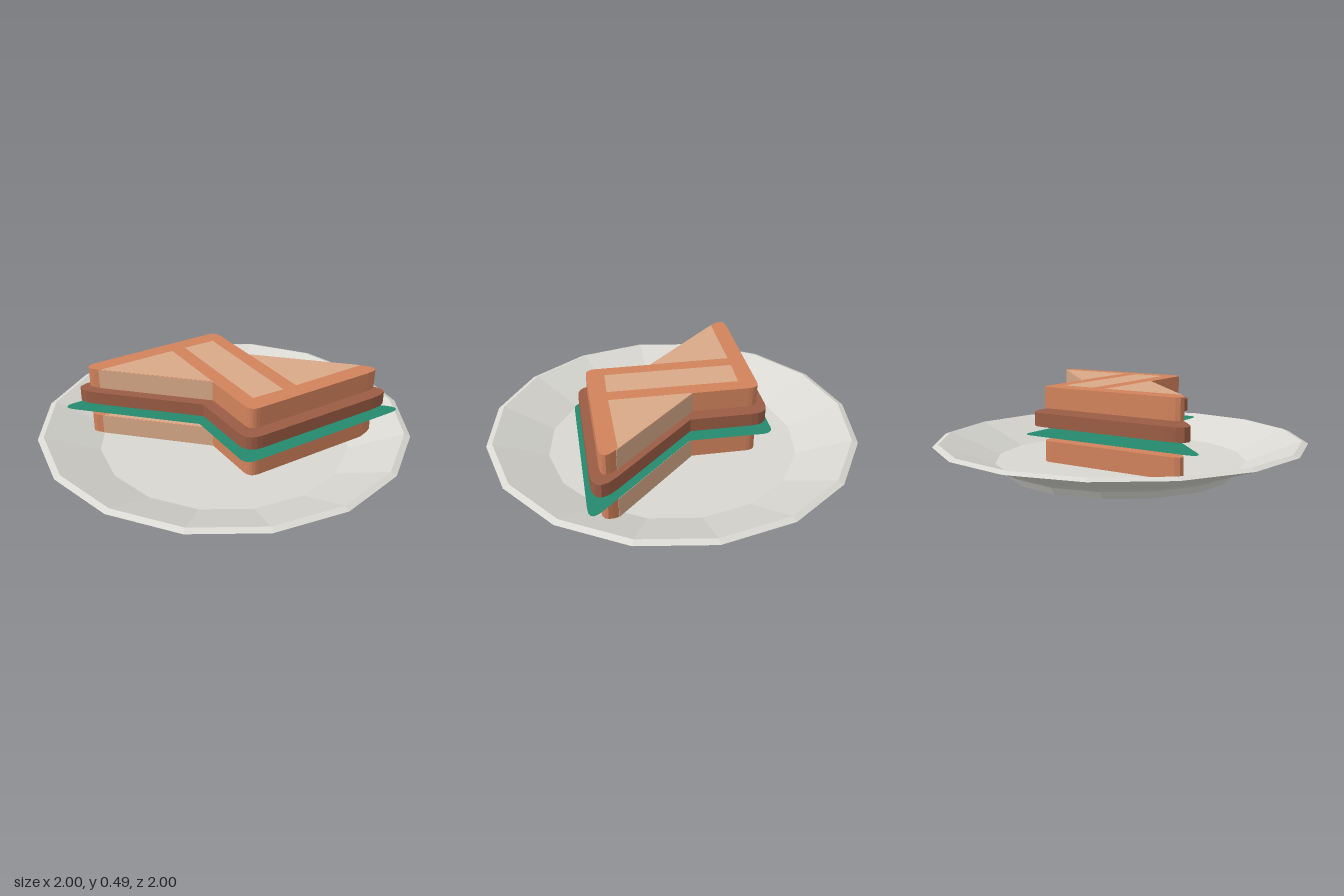
import * as THREE from 'three';

const mat = (name, color, side = THREE.FrontSide) => {
  const m = new THREE.MeshStandardMaterial({ color, side, flatShading: true });
  m.name = name;
  return m;
};

// Closed outline from half its corners [x, z, rounding]; the other half is turned by 180 degrees.
function outline(half) {
  const pts = [...half, ...half.map(([x, z, t]) => [-x, -z, t])]
    .map(([x, z, t]) => ({ p: new THREE.Vector2(x, -z), t }));
  const shape = new THREE.Shape();
  pts.forEach(({ p, t }, i) => {
    const toward = (q) => p.clone().add(q.clone().sub(p).setLength(t));
    const prev = pts[(i + pts.length - 1) % pts.length].p;
    const next = pts[(i + 1) % pts.length].p;
    const a = t ? toward(prev) : p;
    if (i === 0) shape.moveTo(a.x, a.y);
    else shape.lineTo(a.x, a.y);
    if (t) {
      const b = toward(next);
      shape.quadraticCurveTo(p.x, p.y, b.x, b.y);
    }
  });
  shape.closePath();
  return shape;
}

export function createModel() {
  const plateMat = mat('plate grey', 0xd8d7d1);
  const crustMat = mat('crust orange', 0xd2835c);
  const crumbMat = mat('crumb tan', 0xd8a988);
  const fillingMat = mat('filling brown', 0x9b5c44);
  const leafMat = mat('leaf green', 0x24896d, THREE.DoubleSide);

  const model = new THREE.Group();
  const add = (parent, name, geometry, material) => {
    const mesh = new THREE.Mesh(geometry, material);
    mesh.name = name;
    parent.add(mesh);
    return mesh;
  };

  // Sixteen-sided plate with a foot and a bevelled rim
  const profile = [[0, 0], [0.62, 0], [0.645, 0.04], [0.68, 0.06], [1, 0.175],
    [0.968, 0.187], [0.68, 0.07], [0, 0.07]].map(([r, y]) => new THREE.Vector2(r, y));
  add(model, 'plate', new THREE.LatheGeometry(profile, 16), plateMat);

  // Two crossed triangle halves sit slightly off the middle
  const sandwich = new THREE.Group();
  sandwich.name = 'sandwich';
  sandwich.position.x = 0.04;
  model.add(sandwich);

  const slab = (half, depth) => new THREE.ExtrudeGeometry(outline(half),
    { depth, bevelEnabled: false, curveSegments: 5 }).rotateX(-Math.PI / 2);
  const flat = (half) => new THREE.ShapeGeometry(outline(half), 5).rotateX(-Math.PI / 2);
  const face = (pts) => new THREE.ShapeGeometry(
    new THREE.Shape(pts.map(([x, z]) => new THREE.Vector2(x, -z)))).rotateX(-Math.PI / 2);

  // Corners in order: sharp tip, square corner, inner notch
  const breadHalf = [[-0.793, -0.174, 0.115], [0.01, -0.466, 0.055], [0.13, -0.135, 0]];
  const fillingHalf = [[-0.88, -0.192, 0.185], [0.038, -0.526, 0.09], [0.18, -0.135, 0]];
  const leafHalf = [[-0.921, -0.202, 0.10], [0.052, -0.556, 0.06], [0.20, -0.135, 0]];

  // Crumb areas left open by the crust
  const sideCrumb = [[-0.678, -0.12], [-0.275, -0.267], [-0.13, 0.135]];
  const middleCrumb = [[-0.2, -0.294], [-0.03, -0.35], [0.2, 0.294], [0.03, 0.35]];

  function breadSlice(name, y, height) {
    const slice = new THREE.Group();
    slice.name = name;
    slice.position.y = y;
    sandwich.add(slice);
    add(slice, 'crust', slab(breadHalf, height), crustMat);
    add(slice, 'middleCrumb', face(middleCrumb), crumbMat).position.y = height + 0.002;
    for (const turn of [0, Math.PI]) {
      const half = new THREE.Group();
      half.name = 'cutHalf';
      half.rotation.y = turn;
      slice.add(half);
      add(half, 'sideCrumb', face(sideCrumb), crumbMat).position.y = height + 0.002;
      // Crumb showing along the cut edge
      const start = new THREE.Vector2(-0.689, -0.125);
      const end = new THREE.Vector2(-0.13, 0.135);
      const cut = add(half, 'cutEdge',
        new THREE.BoxGeometry(start.distanceTo(end), height, 0.004), crumbMat);
      cut.position.set((start.x + end.x) / 2, height / 2, (start.y + end.y) / 2);
      cut.rotation.y = -Math.atan2(end.y - start.y, end.x - start.x);
    }
  }

  breadSlice('bottomBread', 0.102, 0.108);
  add(sandwich, 'lettuce', flat(leafHalf), leafMat).position.y = 0.245;
  add(sandwich, 'filling', slab(fillingHalf, 0.07), fillingMat).position.y = 0.29;
  breadSlice('topBread', 0.38, 0.108);

  return model;
}
